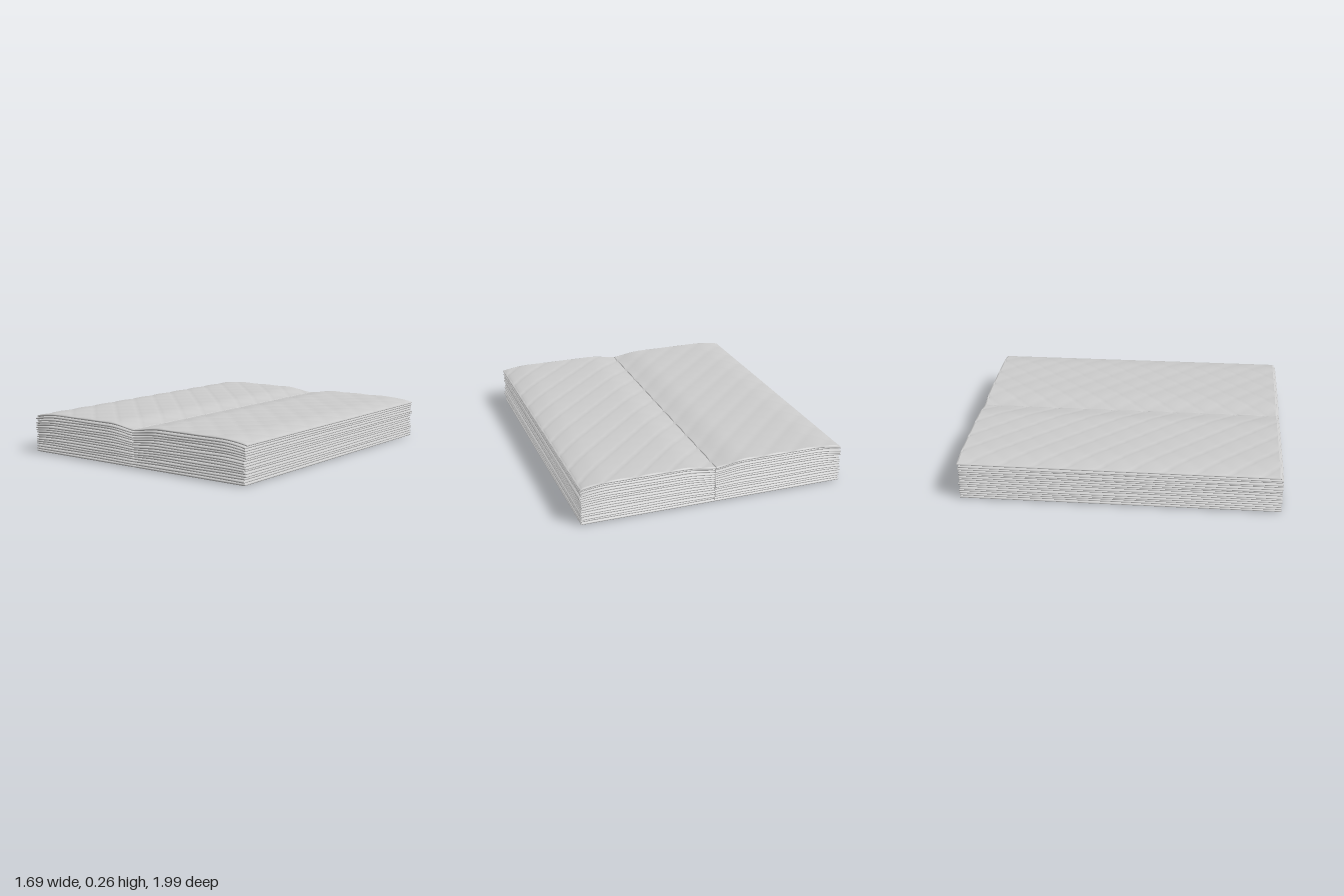
import * as THREE from 'three';

const LAYERS = 16, WIDTH = 0.84, LENGTH = 1.98, HEIGHT = 0.262;
const { smoothstep } = THREE.MathUtils;

// Small seeded generator, returns -1..1
function seeded(seed) {
  return () => {
    seed = (seed * 16807) % 2147483647;
    return (seed / 2147483647) * 2 - 1;
  };
}

// Height of the stack surface at level t (0..1): flat below, sagging to the fold and outer edge above
function stackHeight(x, t) {
  const fold = 0.027 * Math.pow(1 - smoothstep(x, -0.02, 0.24), 1.6);
  const edge = 0.022 * Math.pow(Math.max(0, (x - 0.66) / (WIDTH - 0.66)), 1.7);
  return t * HEIGHT - (fold + edge) * Math.pow(t, 1.3);
}

// Quilted relief: diamond pillows with a small pressed dot at each crossing
function quilt(x, z) {
  const u = (x + z) / 0.2, v = (x - z) / 0.2;
  const pillow = Math.sqrt(Math.abs(Math.sin(Math.PI * u) * Math.sin(Math.PI * v)));
  const du = u - Math.round(u), dv = v - Math.round(v);
  const dot = Math.exp(-(du * du + dv * dv) * 400);
  return 0.004 * (pillow - 1) - 0.005 * dot;
}

// One half of a folded sheet, with rounded edges and a slight misalignment
function sheetHalf(i, side, rand) {
  const top = i === LAYERS - 1;
  const geo = new THREE.BoxGeometry(WIDTH, 1, LENGTH, top ? 42 : 21, 4, top ? 99 : 16);
  const p = geo.attributes.position;
  const shiftX = i === 0 ? 0 : rand() * 0.005;
  const skew = i === 0 ? 0 : rand() * 0.004;
  const shiftZ = top ? -0.008 : i === 0 ? 0 : rand() * 0.005;
  const phase = rand() * 3;
  for (let k = 0; k < p.count; k++) {
    const x = p.getX(k) + WIDTH / 2, s = p.getY(k), z = p.getZ(k);
    const nx = x / WIDTH, nz = z / LENGTH;
    // rim vertices are pulled in away from the sheet's mid height
    const pinch = 0.011 * Math.pow(Math.abs(s) * 2, 2.5);
    let px = x + (shiftX + skew * z) * nx;
    if (nx > 0.999) px -= pinch;
    if (nx < 0.001) px += pinch * 0.4 + 0.0005;
    let pz = z + shiftZ;
    if (Math.abs(nz) > 0.499) pz -= Math.sign(z) * pinch;
    let y = stackHeight(x, (i + 0.5 + s) / LAYERS);
    if (i > 0 && !top) y += 0.0015 * Math.sin(x * 9 + z * 4 + phase);
    if (top && s > 0.49) y += quilt(x, z + 0.89);
    p.setXYZ(k, px * side, Math.max(0, y), pz);
  }
  if (side < 0) {
    // mirrored half: reverse the corner order
    const a = geo.index.array;
    for (let k = 0; k < a.length; k += 3) [a[k], a[k + 1]] = [a[k + 1], a[k]];
  }
  geo.computeVertexNormals();
  return geo;
}

export function createModel() {
  const model = new THREE.Group();
  model.name = 'foldedNapkinStack';
  const paper = new THREE.MeshStandardMaterial({ color: 0xcccccc, roughness: 0.9 });
  const rand = seeded(4217);

  // Sheets from bottom to top, each as a left and right half meeting at the centre fold
  for (let i = 0; i < LAYERS; i++) {
    const sheet = new THREE.Group();
    sheet.name = i === LAYERS - 1 ? 'quiltedTopSheet' : `sheet${i + 1}`;
    for (const side of [1, -1]) {
      const half = new THREE.Mesh(sheetHalf(i, side, rand), paper);
      half.name = side > 0 ? 'leftHalf' : 'rightHalf';
      sheet.add(half);
    }
    model.add(sheet);
  }
  return model;
}
